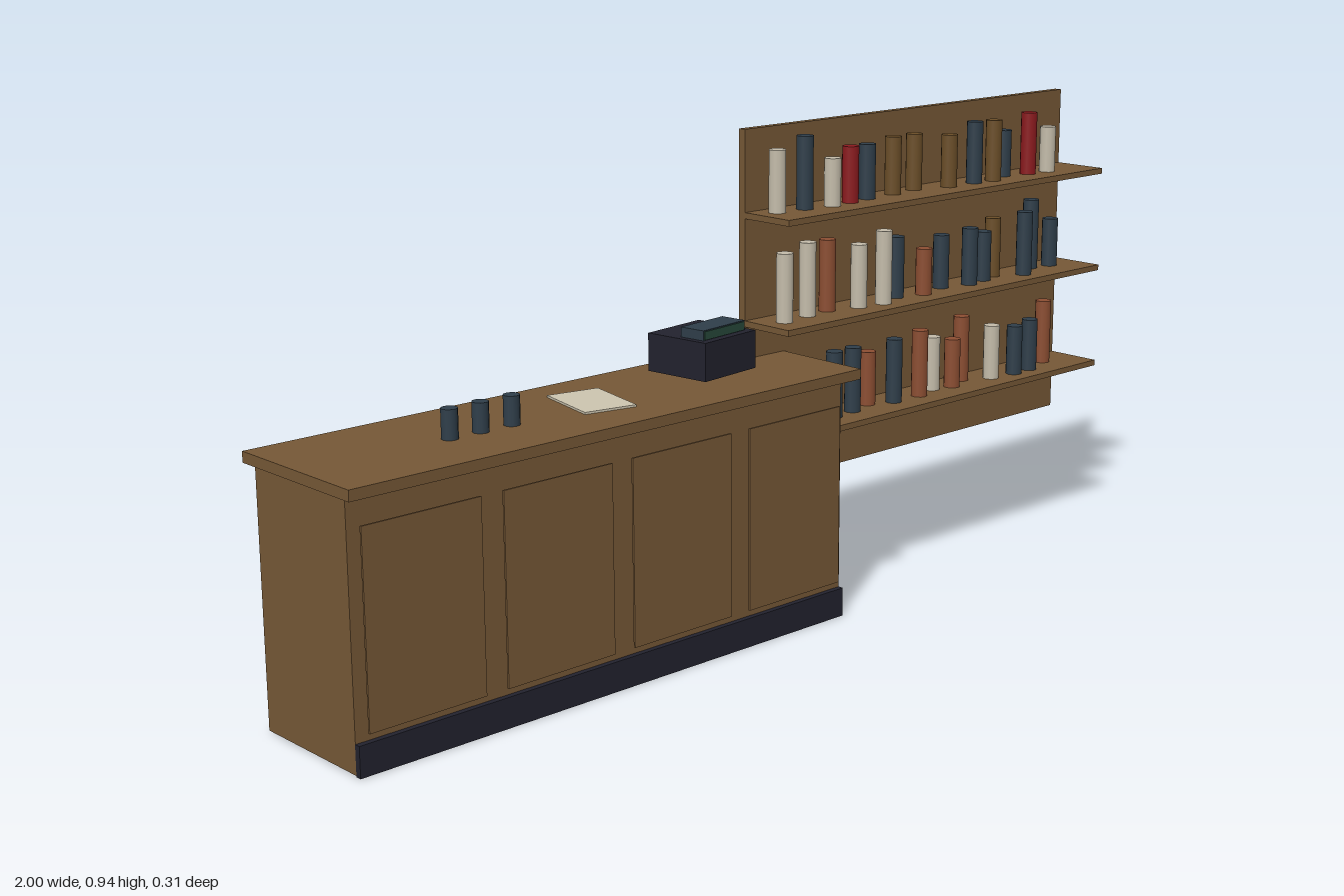
import * as THREE from 'three';

const mat = (name, color) => {
  const m = new THREE.MeshStandardMaterial({ color });
  m.name = name;
  return m;
};

export function createModel() {
  const wood = mat('wood', 0x765836);
  const dark = mat('charcoal', 0x22222e);
  const slate = mat('slate', 0x2f3e4a);
  const cream = mat('cream', 0xc4bcaa);
  const red = mat('red', 0x8c1a1e);
  const rust = mat('rust', 0x8c4e32);
  const amber = mat('amber', 0x6b4e28);
  const paperMat = mat('paper', 0xcdc5b0);
  const green = mat('displayGreen', 0x284a3c);

  const model = new THREE.Group();
  model.name = 'shopCounter';

  // Box given by its extents on each axis
  const box = (name, m, [x0, x1], [y0, y1], [z0, z1], parent = model) => {
    const mesh = new THREE.Mesh(new THREE.BoxGeometry(x1 - x0, y1 - y0, z1 - z0), m);
    mesh.position.set((x0 + x1) / 2, (y0 + y1) / 2, (z0 + z1) / 2);
    mesh.name = name;
    parent.add(mesh);
    return mesh;
  };
  // Upright cylinder standing on y
  const can = (name, m, x, y, z, r, h, parent = model) => {
    const mesh = new THREE.Mesh(new THREE.CylinderGeometry(r, r, h, 12), m);
    mesh.position.set(x, y + h / 2, z);
    mesh.name = name;
    parent.add(mesh);
  };

  // Counter
  box('counterBody', wood, [-0.983, 0.143], [0.002, 0.48], [-0.145, 0.117]);
  box('counterTop', wood, [-1, 0.158], [0.479, 0.499], [-0.155, 0.155]);
  box('kickBoard', dark, [-0.983, 0.143], [0, 0.057], [0.116, 0.128]);
  for (let i = 0; i < 4; i++) {
    const x = -0.844 + i * 0.2845;
    box('frontPanel', wood, [x - 0.119, x + 0.119], [0.073, 0.426], [0.126, 0.13]);
  }

  // Cups and paper on the counter
  for (const x of [-0.705, -0.64, -0.573]) can('cup', slate, x, 0.499, 0.02, 0.015, 0.054);
  const paper = box('paperSheet', paperMat, [-0.426, -0.322], [0.499, 0.503], [-0.077, 0.067]);
  paper.rotation.y = -0.2;

  // Cash register, turned slightly
  const register = new THREE.Group();
  register.name = 'cashRegister';
  register.position.set(-0.087, 0.508, -0.024);
  register.rotation.y = 0.125;
  model.add(register);
  box('registerBody', dark, [-0.073, 0.073], [0, 0.073], [-0.07, 0.07], register);
  box('registerHead', slate, [-0.06, 0.06], [0.072, 0.092], [0, 0.054], register);
  box('registerDisplay', green, [-0.058, 0.058], [0.074, 0.09], [0.053, 0.056], register);

  // Wall board and shelves
  box('backBoard', wood, [0.053, 1], [0.238, 0.945], [-0.07, -0.054]);
  const shelfTops = [0.786, 0.575, 0.3625];
  for (const y of shelfTops) box('shelf', wood, [0.053, 1], [y - 0.012, y], [-0.055, 0.065]);

  // Bottles per shelf: colour, x, top height, z
  const rows = [
    [
      [cream, 0.099, 0.907, -0.013], [slate, 0.166, 0.928, -0.006], [cream, 0.23, 0.88, 0.006],
      [red, 0.286, 0.897, 0], [slate, 0.342, 0.895, -0.008], [amber, 0.42, 0.902, -0.011],
      [amber, 0.492, 0.9, -0.02], [amber, 0.572, 0.893, 0.004], [slate, 0.647, 0.913, 0.007],
      [amber, 0.7, 0.912, 0.013], [slate, 0.762, 0.883, -0.013], [red, 0.824, 0.916, 0.004],
      [cream, 0.88, 0.882, 0.01],
    ],
    [
      [cream, 0.102, 0.71, 0.005], [cream, 0.174, 0.721, -0.005], [rust, 0.236, 0.718, -0.012],
      [cream, 0.305, 0.702, 0.008], [cream, 0.366, 0.723, 0.018], [slate, 0.428, 0.7, -0.006],
      [rust, 0.492, 0.67, 0.012], [slate, 0.567, 0.686, -0.008], [slate, 0.636, 0.694, 0.01],
      [slate, 0.69, 0.679, 0], [amber, 0.738, 0.7, -0.015], [slate, 0.8, 0.71, 0.02],
      [slate, 0.866, 0.724, -0.018], [slate, 0.92, 0.678, -0.008],
    ],
    [
      [amber, 0.178, 0.47, -0.01], [slate, 0.238, 0.496, 0.008], [slate, 0.297, 0.494, 0.002],
      [rust, 0.358, 0.473, -0.015], [slate, 0.412, 0.494, 0.008], [rust, 0.487, 0.501, 0.01],
      [cream, 0.545, 0.475, -0.008], [rust, 0.594, 0.465, 0.005], [rust, 0.65, 0.501, -0.02],
      [cream, 0.711, 0.477, 0.012], [slate, 0.777, 0.467, 0.02], [slate, 0.829, 0.473, 0.018],
      [rust, 0.906, 0.499, -0.008],
    ],
  ];
  rows.forEach((row, i) => {
    const group = new THREE.Group();
    group.name = 'bottleRow';
    model.add(group);
    for (const [m, x, top, z] of row) can('bottle', m, x, shelfTops[i], z, 0.017, top - shelfTops[i], group);
  });

  return model;
}
